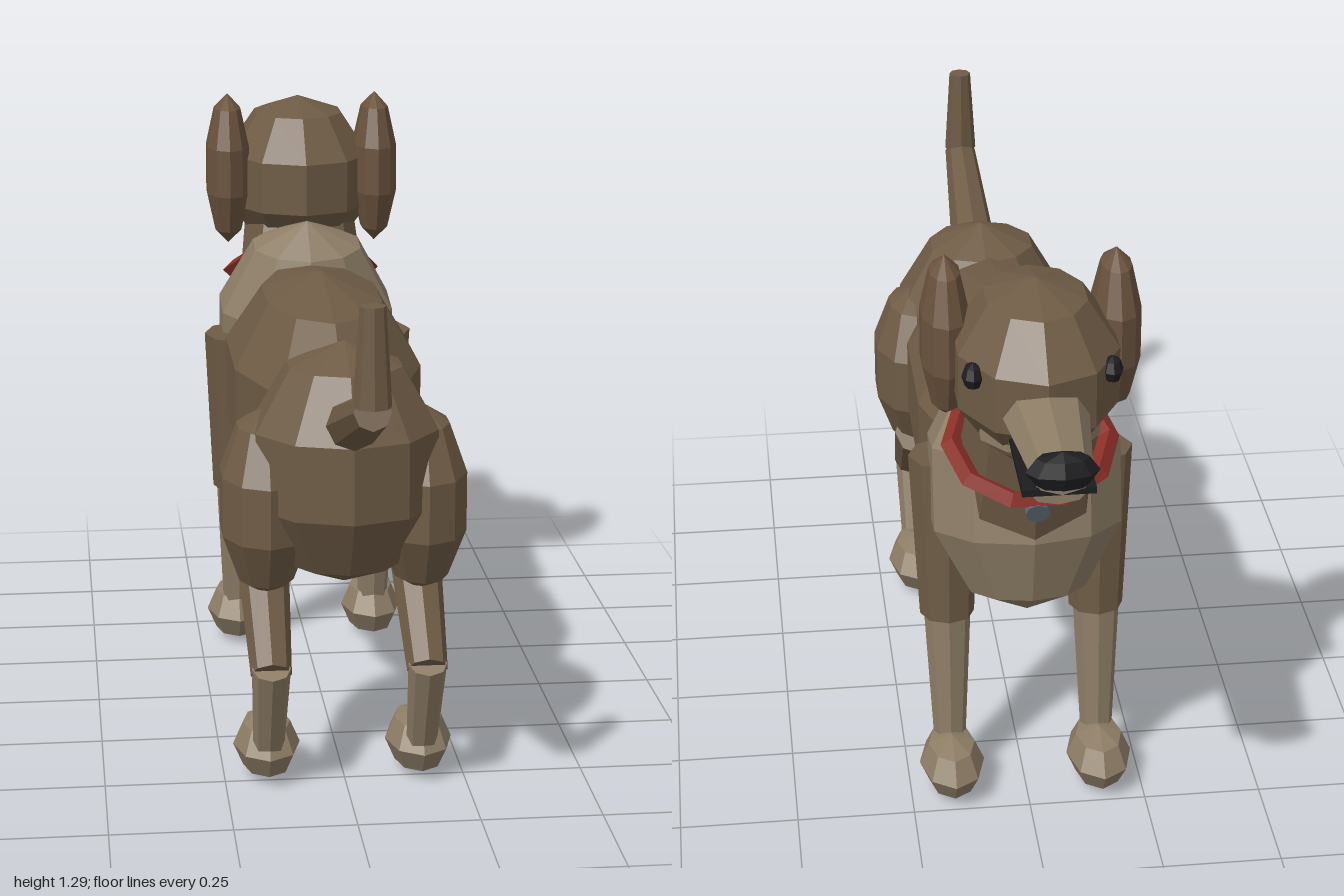
import * as THREE from 'three';

const mat = (color) => new THREE.MeshStandardMaterial({ color, flatShading: true });
const coat = mat(0x6e5b45), pale = mat(0x8d7d66), earCoat = mat(0x6b533e);
const dark = mat(0x1d1d20), red = mat(0x8c2f27), steel = mat(0x5a6570);

export function createModel() {
  const dog = new THREE.Group();
  dog.name = 'dog';

  // Faceted ellipsoid with a vertex on its front and back
  function ball(name, material, [x, y, z], [rx, ry, rz], around = 10, rings = 5, tilt = 0) {
    const g = new THREE.SphereGeometry(1, around, rings).rotateY(Math.PI / 2).scale(rx, ry, rz);
    const m = new THREE.Mesh(g, material);
    m.name = name;
    m.position.set(x, y, z);
    m.rotation.x = tilt;
    dog.add(m);
    return m;
  }

  // Tapered prism from point a to point b
  function limb(name, material, a, b, ra, rb, sides = 8) {
    const p = new THREE.Vector3(...a), q = new THREE.Vector3(...b);
    const dir = q.clone().sub(p);
    const m = new THREE.Mesh(new THREE.CylinderGeometry(rb, ra, dir.length(), sides), material);
    m.name = name;
    m.position.copy(p).add(q).multiplyScalar(0.5);
    m.quaternion.setFromUnitVectors(new THREE.Vector3(0, 1, 0), dir.normalize());
    dog.add(m);
    return m;
  }

  // Trunk
  ball('torso', coat, [0, 0.72, 0.01], [0.22, 0.26, 0.5]);
  ball('hips', coat, [0, 0.685, 0.48], [0.205, 0.255, 0.2]);
  ball('chest', pale, [0, 0.74, -0.37], [0.215, 0.29, 0.185], 10, 5, 0.2);
  limb('neck', coat, [0, 0.72, -0.4], [0, 1.06, -0.52], 0.16, 0.12);

  // Collar with a small tag
  const collar = new THREE.Mesh(
    new THREE.TorusGeometry(0.16, 0.022, 4, 10).rotateX(Math.PI / 2).scale(1.0, 1, 0.92), red);
  collar.name = 'collar';
  collar.position.set(0, 0.88, -0.47);
  collar.rotation.x = -0.48;
  dog.add(collar);
  limb('collarTag', steel, [0, 0.79, -0.59], [0, 0.785, -0.605], 0.025, 0.025);

  // Head
  ball('head', coat, [0, 1.09, -0.54], [0.175, 0.187, 0.225]);
  ball('cheeks', pale, [0, 1.0, -0.6], [0.13, 0.08, 0.115]);
  const muzzle = limb('muzzle', pale, [0, 1.065, -0.66], [0, 1.07, -0.96], 0.09, 0.058);
  muzzle.scale.z = 0.72;
  const jaw = limb('lowerJaw', pale, [0, 1.0, -0.64], [0, 1.005, -0.91], 0.075, 0.055);
  jaw.scale.z = 0.45;
  const mouth = new THREE.Mesh(new THREE.BoxGeometry(0.14, 0.014, 0.22), dark);
  mouth.name = 'mouth';
  mouth.position.set(0, 1.012, -0.81);
  dog.add(mouth);
  ball('nose', dark, [0, 1.08, -0.962], [0.07, 0.04, 0.037], 8, 4);

  // Tail
  limb('tailBase', coat, [0, 0.785, 0.58], [0, 0.92, 0.965], 0.056, 0.036);
  limb('tailTip', coat, [0, 0.93, 0.96], [0, 1.122, 0.96], 0.037, 0.025);

  // Mirrored parts
  for (const [s, side] of [[1, 'left'], [-1, 'right']]) {
    const x = 0.16 * s;
    ball(side + 'Ear', earCoat, [0.17 * s, 1.122, -0.46], [0.053, 0.174, 0.098]);
    ball(side + 'Eye', dark, [0.135 * s, 1.13, -0.66], [0.022, 0.028, 0.028], 8, 4);

    limb(side + 'FrontUpperLeg', coat, [x, 0.77, -0.305], [x, 0.4, -0.33], 0.076, 0.058);
    limb(side + 'FrontLowerLeg', pale, [x, 0.41, -0.335], [x, 0.08, -0.37], 0.05, 0.033);
    ball(side + 'FrontPaw', pale, [x, 0.07, -0.41], [0.07, 0.067, 0.11], 8, 4);

    ball(side + 'Thigh', coat, [x, 0.6, 0.455], [0.1, 0.2, 0.152]);
    limb(side + 'HindShin', coat, [x, 0.46, 0.375], [x, 0.27, 0.59], 0.055, 0.042);
    limb(side + 'HindLowerLeg', pale, [x, 0.285, 0.595], [x, 0.08, 0.515], 0.04, 0.032);
    ball(side + 'HindPaw', pale, [x, 0.07, 0.455], [0.07, 0.067, 0.11], 8, 4);
  }
  return dog;
}
